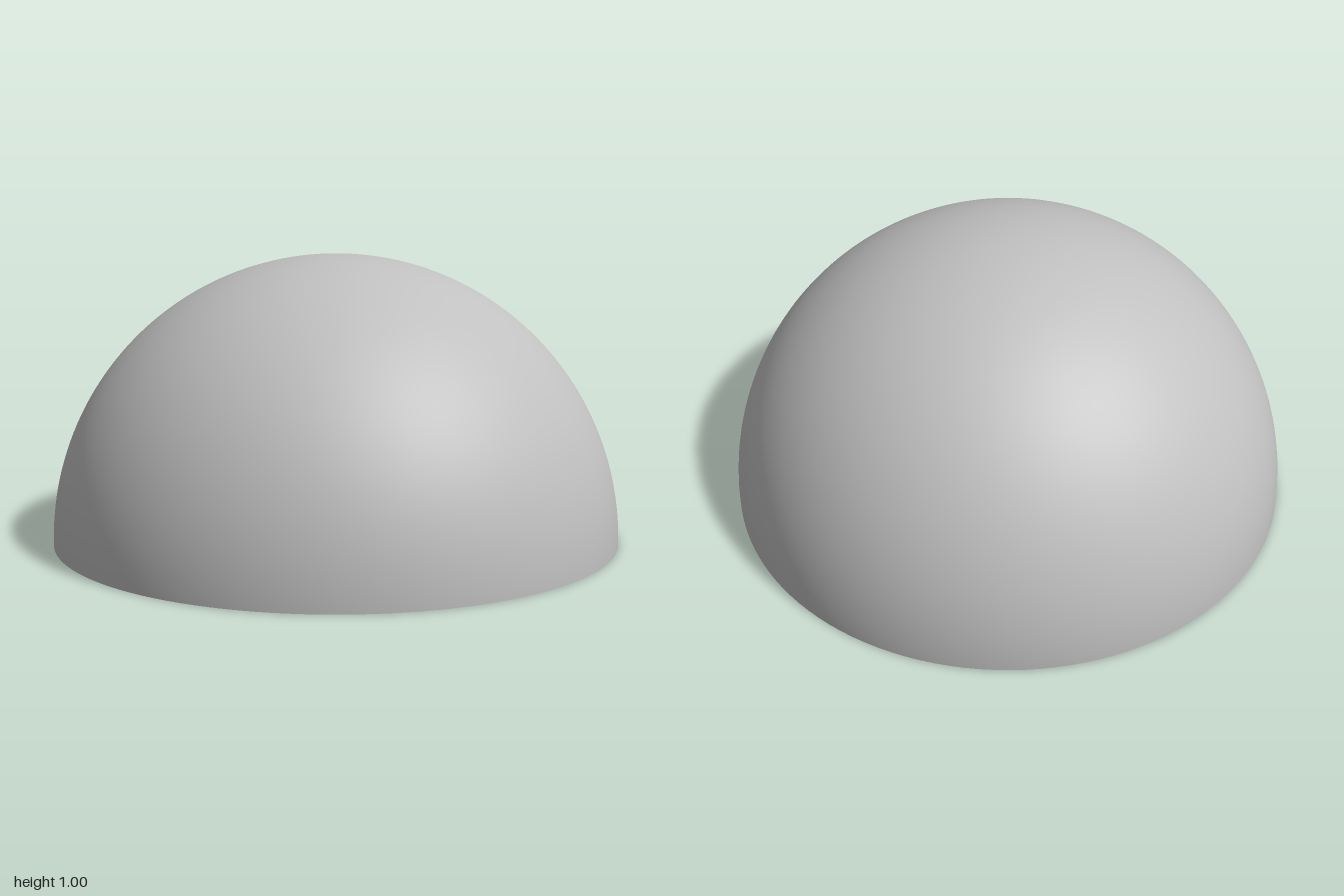
import * as THREE from 'three';
import { toCreasedNormals } from 'three/addons/utils/BufferGeometryUtils.js';

const OPENING = 0.485;      // half side of the square recess at the base
const CEILING = 0.42;       // half side at the top of the recess
const DEPTH = 0.6;
const STEM_RADIUS = 0.207;
const SLOT_DEPTH = 0.3;
const ARM = 0.154;          // half length of a cross arm
const ARM_WIDTH = 0.049;    // half width of a cross arm

function circle(radius) {
  return new THREE.Shape().absarc(0, 0, radius, 0, Math.PI * 2, false);
}

function polygon(points) {
  return new THREE.Path(points.map(([x, y]) => new THREE.Vector2(x, y)));
}

export function createModel() {
  const model = new THREE.Group();
  model.name = 'domedCap';
  const grey = new THREE.MeshStandardMaterial({ color: 0xc0c0c0 });
  grey.name = 'grey';

  const add = (name, geometry, y = 0) => {
    const mesh = new THREE.Mesh(geometry, grey);
    mesh.name = name;
    mesh.position.y = y;
    model.add(mesh);
  };

  // Smooth outer hemisphere
  add('dome', new THREE.SphereGeometry(1, 128, 48, 0, Math.PI * 2, 0, Math.PI / 2));

  // Flat underside with the square opening
  const base = circle(1);
  const s = OPENING;
  base.holes.push(polygon([[-s, -s], [-s, s], [s, s], [s, -s]]));
  add('underside', new THREE.ShapeGeometry(base, 128).rotateX(Math.PI / 2));

  // Tapered recess walls, mirrored so they face inward
  let walls = new THREE.CylinderGeometry(CEILING * Math.SQRT2, OPENING * Math.SQRT2, DEPTH, 4, 1, true);
  walls = walls.rotateY(Math.PI / 4).scale(-1, 1, 1).toNonIndexed();
  walls.computeVertexNormals();
  add('recessWalls', walls, DEPTH / 2);
  add('recessCeiling', new THREE.PlaneGeometry(CEILING * 2, CEILING * 2).rotateX(Math.PI / 2), DEPTH);

  // Round stem: slotted lower half, solid upper half
  const socket = circle(STEM_RADIUS);
  const a = ARM, w = ARM_WIDTH;
  socket.holes.push(polygon([
    [a, -w], [w, -w], [w, -a], [-w, -a], [-w, -w], [-a, -w],
    [-a, w], [-w, w], [-w, a], [w, a], [w, w], [a, w],
  ]));
  const slotted = new THREE.ExtrudeGeometry(socket, { depth: SLOT_DEPTH, bevelEnabled: false, curveSegments: 64 });
  add('stemSocket', toCreasedNormals(slotted.rotateX(-Math.PI / 2), 0.6));
  const rest = DEPTH - SLOT_DEPTH;
  add('stemRoot', new THREE.CylinderGeometry(STEM_RADIUS, STEM_RADIUS, rest, 64), SLOT_DEPTH + rest / 2);

  return model;
}
